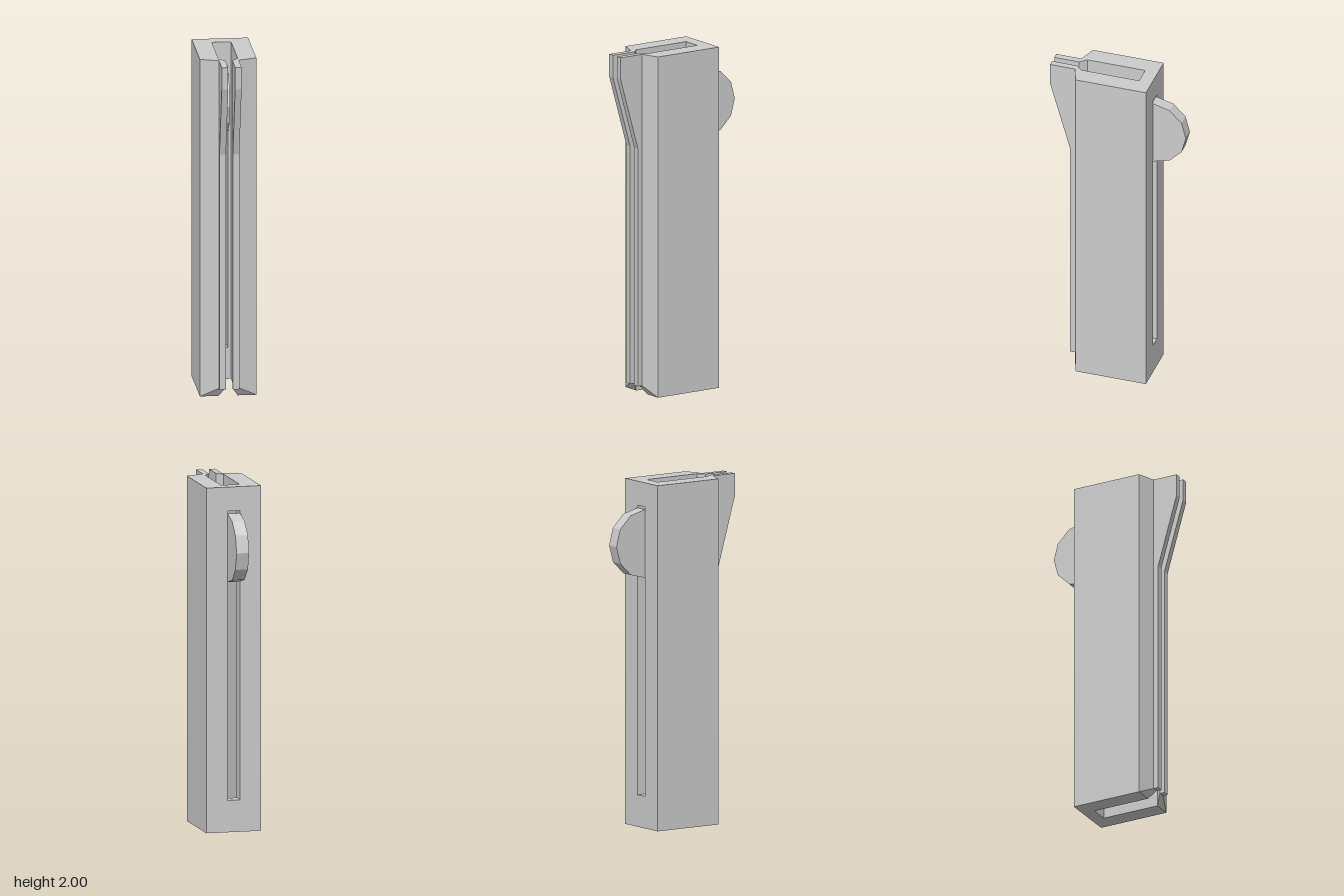
import * as THREE from 'three';

const material = new THREE.MeshStandardMaterial({ color: 0xcccccc, flatShading: true });

// Main measurements
const HEIGHT = 2, OUTER = 0.162, INNER = 0.055;
const BACK = -0.206, CAVITY = -0.13, FRONT = 0.218;
const LIP_BACK = 0.255, LIP_IN = 0.02, LIP_OUT = 0.057, LIP_BOTTOM = 0.055;
const SLOT = 0.037;

function add(group, name, geometry) {
  const mesh = new THREE.Mesh(geometry, material);
  mesh.name = name;
  group.add(mesh);
  return mesh;
}

// Box given by its limits on each axis
function boxBetween(x0, x1, y0, y1, z0, z1) {
  return new THREE.BoxGeometry(x1 - x0, y1 - y0, z1 - z0)
    .translate((x0 + x1) / 2, (y0 + y1) / 2, (z0 + z1) / 2);
}

// Tapered block joining a side wall to its lip
function shoulderGeometry(side) {
  const xs = [side * INNER, side * OUTER].sort((a, b) => a - b);
  const geo = boxBetween(xs[0], xs[1], 0, HEIGHT, FRONT, LIP_BACK);
  const p = geo.attributes.position;
  for (let i = 0; i < p.count; i++) {
    if (p.getZ(i) < (FRONT + LIP_BACK) / 2) continue;
    const outer = Math.abs(p.getX(i)) > (INNER + OUTER) / 2;
    p.setX(i, side * (outer ? LIP_OUT : LIP_IN));
    if (p.getY(i) < 1) p.setY(i, LIP_BOTTOM);
  }
  geo.computeVertexNormals();
  return geo;
}

// Thin lip, narrow along its length and flared at the top
function lipGeometry() {
  const profile = new THREE.Shape([
    [LIP_BACK, LIP_BOTTOM], [0.285, LIP_BOTTOM], [0.285, 1.45],
    [0.405, 1.87], [0.405, HEIGHT], [LIP_BACK, HEIGHT],
  ].map(([z, y]) => new THREE.Vector2(z, y)));
  const depth = LIP_OUT - LIP_IN;
  return new THREE.ExtrudeGeometry(profile, { depth, bevelEnabled: false })
    .translate(0, 0, -depth / 2)
    .rotateY(-Math.PI / 2);
}

export function createModel() {
  const model = new THREE.Group();
  model.name = 'slottedHolder';

  // Back wall with the long slot
  const wall = new THREE.Shape([
    new THREE.Vector2(-OUTER, 0), new THREE.Vector2(OUTER, 0),
    new THREE.Vector2(OUTER, HEIGHT), new THREE.Vector2(-OUTER, HEIGHT),
  ]);
  wall.holes.push(new THREE.Path([
    new THREE.Vector2(-SLOT, 0.185), new THREE.Vector2(-SLOT, 1.86),
    new THREE.Vector2(SLOT, 1.86), new THREE.Vector2(SLOT, 0.185),
  ]));
  add(model, 'backWall', new THREE.ExtrudeGeometry(wall, {
    depth: CAVITY - BACK, bevelEnabled: false,
  }).translate(0, 0, BACK));

  // Side walls, shoulders and lips, mirrored
  for (const side of [-1, 1]) {
    const label = side > 0 ? 'left' : 'right';
    const xs = [side * INNER, side * OUTER].sort((a, b) => a - b);
    add(model, label + 'Wall', boxBetween(xs[0], xs[1], 0, HEIGHT, CAVITY, FRONT));
    add(model, label + 'Shoulder', shoulderGeometry(side));
    add(model, label + 'Lip', lipGeometry()).position.x = side * (LIP_IN + LIP_OUT) / 2;
  }

  // Twelve-sided thumb wheel in the slot
  const wheel = add(model, 'thumbWheel',
    new THREE.CylinderGeometry(0.198, 0.198, SLOT * 2, 12).rotateZ(Math.PI / 2));
  wheel.position.set(0, 1.648, -0.207);

  return model;
}
